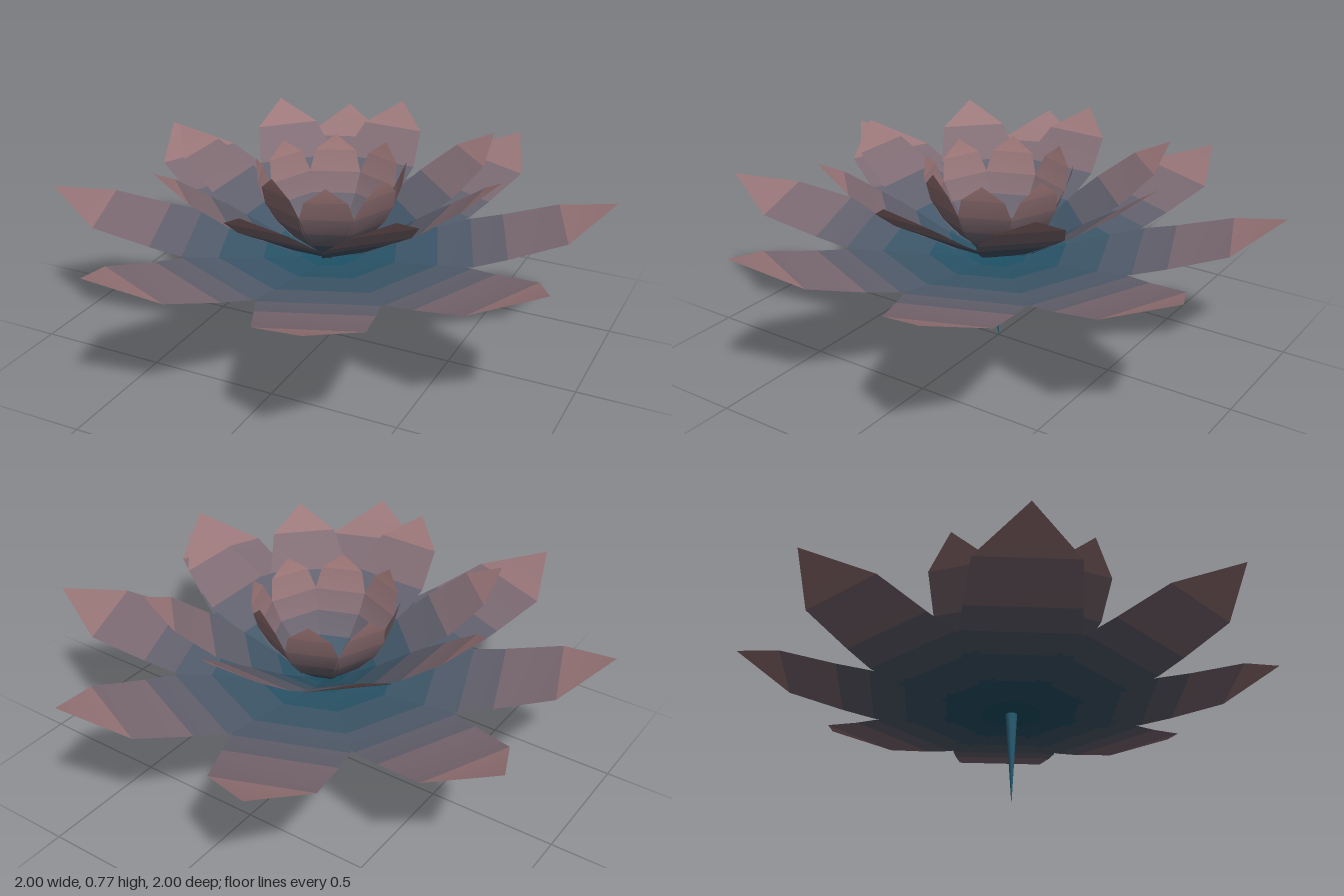
import * as THREE from 'three';

const BASE = new THREE.Color(0x1d5368), TIP = new THREE.Color(0xa67c7c);

// Cross-sections of one petal from base to tip: [distance from axis, height, half width]
const LAYERS = [
  { name: 'outerPetal', turn: 23.7, rows: [
    [0.022, 0.355, 0.01], [0.11, 0.356, 0.055], [0.25, 0.376, 0.14], [0.41, 0.403, 0.205],
    [0.54, 0.423, 0.217], [0.665, 0.452, 0.205], [0.88, 0.512, 0.183], [1.073, 0.6, 0]] },
  { name: 'middlePetal', turn: 0.6, rows: [
    [0.022, 0.362, 0.01], [0.09, 0.385, 0.045], [0.18, 0.43, 0.095], [0.3, 0.508, 0.135],
    [0.43, 0.588, 0.157], [0.57, 0.69, 0.125], [0.67, 0.772, 0]] },
  { name: 'innerPetal', turn: 23, rows: [
    [0.022, 0.365, 0.01], [0.07, 0.39, 0.035], [0.14, 0.45, 0.068], [0.2, 0.525, 0.09],
    [0.238, 0.6, 0.1], [0.268, 0.68, 0.08], [0.283, 0.742, 0]] },
];

// Thin blade along +x, one material group per band between neighbouring rows
function petalGeometry(rows) {
  const positions = [], indices = [];
  const geometry = new THREE.BufferGeometry();
  rows.forEach(([r, y, w]) => positions.push(r, y, -w, r, y, w));
  for (let i = 0; i < rows.length - 1; i++) {
    const a = i * 2, isTip = i === rows.length - 2;
    const faces = isTip ? [a, a + 1, a + 2] : [a, a + 1, a + 2, a + 1, a + 3, a + 2];
    geometry.addGroup(indices.length, faces.length, i);
    indices.push(...faces);
  }
  geometry.setAttribute('position', new THREE.Float32BufferAttribute(positions, 3));
  geometry.setIndex(indices);
  geometry.computeVertexNormals();
  return geometry;
}

// Band colours fade from the dark base to the pale tip
function petalMaterials(rows) {
  const length = rows[rows.length - 1][0];
  return rows.slice(1).map(([r], i) => {
    const t = (r + rows[i][0]) / 2 / length;
    return new THREE.MeshStandardMaterial({
      color: BASE.clone().lerp(TIP, t * t), side: THREE.DoubleSide,
    });
  });
}

export function createModel() {
  const flower = new THREE.Group();
  flower.name = 'flower';

  // Three whorls of eight petals
  for (const { name, turn, rows } of LAYERS) {
    const whorl = new THREE.Group();
    whorl.name = name + 's';
    const geometry = petalGeometry(rows), materials = petalMaterials(rows);
    for (let i = 0; i < 8; i++) {
      const petal = new THREE.Mesh(geometry, materials);
      petal.name = name;
      petal.rotation.y = -THREE.MathUtils.degToRad(turn + i * 45);
      whorl.add(petal);
    }
    flower.add(whorl);
  }

  // Tapering stem, open at the top
  const stem = new THREE.Mesh(
    new THREE.CylinderGeometry(0.024, 0.001, 0.362, 8, 1, true),
    new THREE.MeshStandardMaterial({ color: 0x2a6077 }));
  stem.name = 'stem';
  stem.position.y = 0.181;
  flower.add(stem);
  return flower;
}
